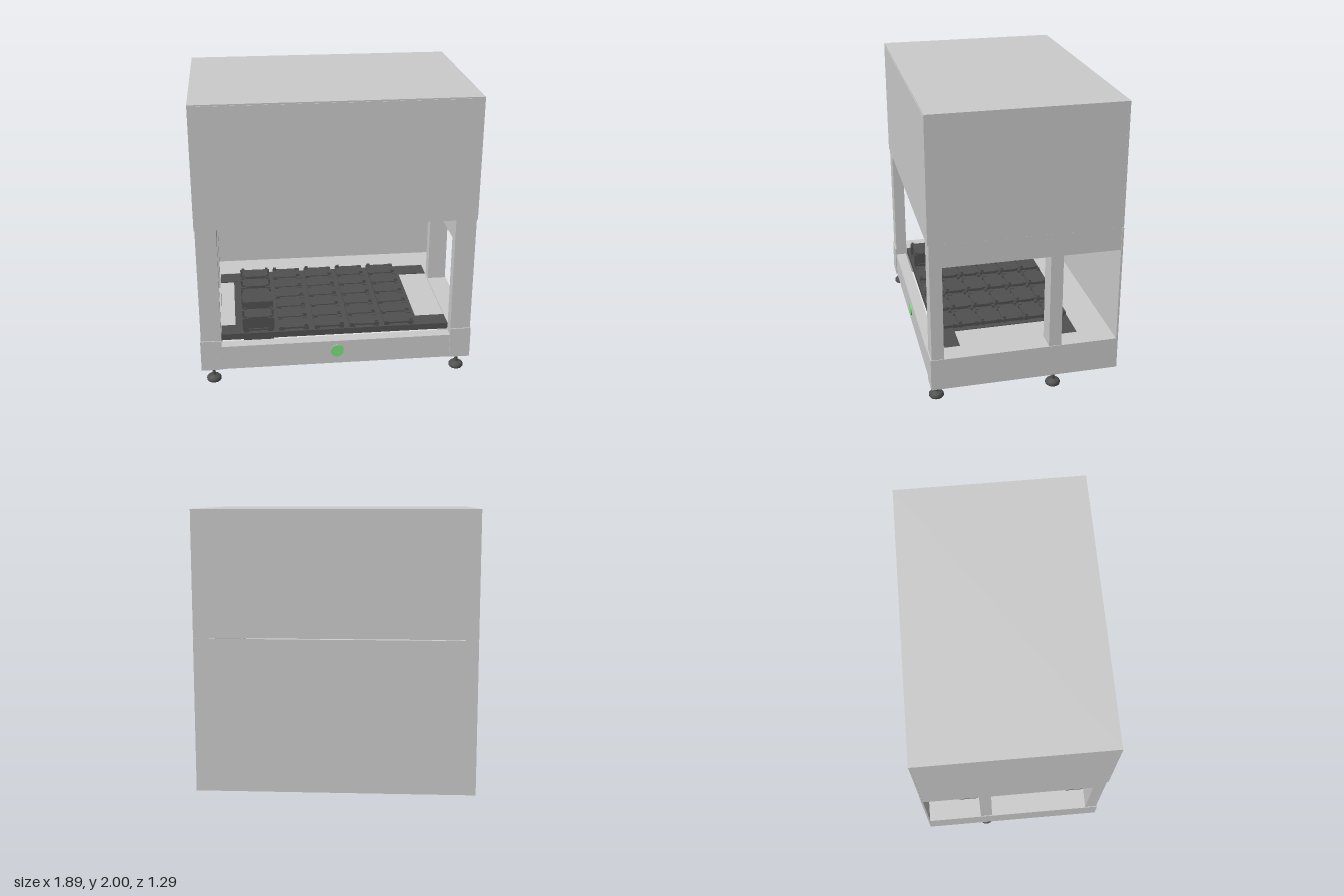
import * as THREE from 'three';

const grey = new THREE.MeshStandardMaterial({ color: 0xcccccc });
const dark = new THREE.MeshStandardMaterial({ color: 0x505050 });
const green = new THREE.MeshStandardMaterial({ color: 0x7fe07f });

// Box given by its limits along each axis
function block(parent, name, [x0, x1], [y0, y1], [z0, z1], material = grey) {
  const mesh = new THREE.Mesh(new THREE.BoxGeometry(x1 - x0, y1 - y0, z1 - z0), material);
  mesh.position.set((x0 + x1) / 2, (y0 + y1) / 2, (z0 + z1) / 2);
  mesh.name = name;
  parent.add(mesh);
  return mesh;
}

// Same box on the left (+x) and right (-x)
function pair(parent, name, [x0, x1], y, z, material) {
  block(parent, name + 'Left', [x0, x1], y, z, material);
  block(parent, name + 'Right', [-x1, -x0], y, z, material);
}

function group(parent, name) {
  const g = new THREE.Group();
  g.name = name;
  parent.add(g);
  return g;
}

// Levelling foot: rounded disc with a thin threaded stem
function foot(parent, x, z) {
  const profile = [[0, 0], [0.046, 0], [0.05, 0.006], [0.05, 0.022], [0.04, 0.034], [0.015, 0.038],
    [0.011, 0.045], [0.011, 0.105], [0, 0.105]].map(([r, y]) => new THREE.Vector2(r, y));
  const mesh = new THREE.Mesh(new THREE.LatheGeometry(profile, 24), dark);
  mesh.position.set(x, 0, z);
  mesh.name = 'levellingFoot';
  parent.add(mesh);
}

// Deck position: thin tray with corner clips, optionally holding a tall block
function deckPosition(parent, x, z, tall) {
  const g = group(parent, tall ? 'tallModule' : 'tray');
  const w = 0.105, d = 0.072;
  block(g, 'trayPlate', [-w, w], [0.335, 0.347], [-d, d], dark);
  for (const sx of [-1, 1]) for (const sz of [-1, 1]) {
    const cx = sx * (w - 0.018), cz = sz * (d - 0.014);
    block(g, 'cornerClip', [cx - 0.016, cx + 0.016], [0.32, 0.352], [cz - 0.012, cz + 0.012], dark);
    if (sx * sz > 0) block(g, 'clipKnob', [cx - 0.012, cx + 0.012], [0.35, 0.364], [cz - 0.009, cz + 0.009], dark);
  }
  if (tall) {
    block(g, 'moduleBody', [-0.095, 0.095], [0.347, 0.435], [-0.06, 0.06], dark);
    for (const s of [-1, 1]) {
      pair(g, 'moduleCorner', [0.07, 0.11], [0.347, 0.43], s > 0 ? [0.048, 0.074] : [-0.074, -0.048], dark);
      pair(g, 'moduleKnob', [0.08, 0.098], [0.43, 0.446], s > 0 ? [0.05, 0.066] : [-0.066, -0.05], dark);
    }
  }
  g.position.set(x, 0, z);
}

export function createModel() {
  const model = new THREE.Group();
  model.name = 'enclosedWorkstation';

  // Base
  const base = group(model, 'base');
  pair(base, 'baseSide', [0.8, 0.945], [0.1, 0.325], [-0.64, 0.645]);
  block(base, 'baseFrontPanel', [-0.8, 0.8], [0.1, 0.275], [0.56, 0.638]);
  block(base, 'rearShelf', [-0.8, 0.8], [0.312, 0.325], [-0.632, -0.4]);
  const button = new THREE.Mesh(new THREE.CylinderGeometry(0.045, 0.045, 0.012, 40), green);
  button.rotation.x = Math.PI / 2;
  button.position.set(0, 0.2, 0.64);
  button.name = 'statusLight';
  base.add(button);
  for (const s of [-1, 1]) {
    foot(base, s * 0.862, 0.6);
    foot(base, s * 0.893, -0.205);
  }

  // Frame posts and beams
  const frame = group(model, 'frame');
  pair(frame, 'frontPost', [0.8, 0.94], [0.325, 1.15], [0.555, 0.637]);
  pair(frame, 'middlePost', [0.805, 0.94], [0.325, 0.99], [-0.245, -0.16]);
  pair(frame, 'sideBeam', [0.8, 0.94], [0.99, 1.15], [-0.632, 0.555]);
  block(frame, 'backPanel', [-0.945, 0.945], [0.1, 1.147], [-0.645, -0.632]);

  // Hollow hood, open underneath
  const hood = group(model, 'hood');
  const upper = [1.152, 1.99];
  block(hood, 'hoodTop', [-0.945, 0.945], [1.987, 2], [-0.645, 0.642]);
  block(hood, 'hoodFront', [-0.945, 0.945], upper, [0.632, 0.645]);
  block(hood, 'hoodBack', [-0.945, 0.945], upper, [-0.643, -0.632]);
  pair(hood, 'hoodSide', [0.932, 0.944], upper, [-0.632, 0.632]);

  // Deck with front and rear rails
  const deck = group(model, 'deck');
  block(deck, 'frontRail', [-0.8, 0.8], [0.278, 0.322], [0.42, 0.55], dark);
  block(deck, 'rearRail', [-0.8, 0.8], [0.278, 0.322], [-0.4, -0.26], dark);
  block(deck, 'rearSkirt', [-0.8, 0.8], [0.11, 0.278], [-0.35, -0.338], dark);
  block(deck, 'deckPlate', [-0.7, 0.59], [0.3, 0.32], [-0.26, 0.42], dark);
  block(deck, 'deckMarginLeft', [0.59, 0.8], [0.3, 0.316], [-0.26, 0.42]);
  block(deck, 'deckMarginRight', [-0.8, -0.7], [0.3, 0.316], [-0.26, 0.42]);

  // Grid of trays and tall modules
  const columns = [-0.54, -0.292, -0.044, 0.204, 0.452];
  columns.forEach((x, c) => {
    for (let r = 0; r < 6; r++) {
      if (c === 0 && r === 1) continue;
      deckPosition(deck, x, 0.467 - r * 0.158, c === 0 && r < 5);
    }
    // Carrier rails beneath each column
    for (const s of [-1, 1]) {
      block(deck, 'carrierRail', [x + s * 0.08 - 0.015, x + s * 0.08 + 0.015], [0.318, 0.337], [-0.39, 0.53], dark);
    }
  });

  // Waste chute passing through the deck
  block(deck, 'wasteChute', [-0.645, -0.43], [0.04, 0.478], [0.233, 0.385], dark);

  return model;
}
